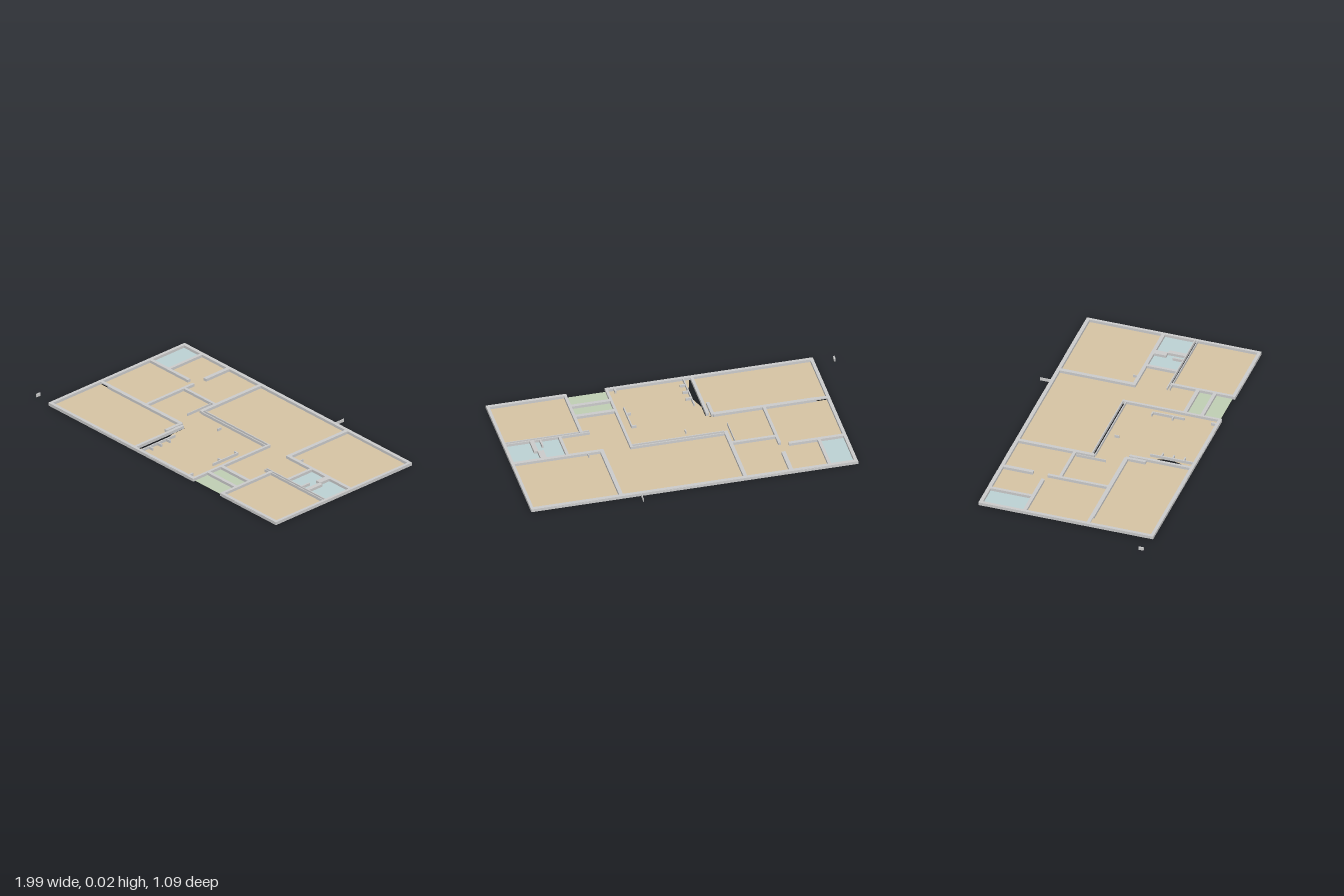
import * as THREE from 'three';

const H = 0.018; // wall height
const T = 0.002; // floor thickness

const grey = new THREE.MeshStandardMaterial({ color: 0xcccccc });
const tan = new THREE.MeshStandardMaterial({ color: 0xd6c4a4 });
const blue = new THREE.MeshStandardMaterial({ color: 0xbcd2d4 });
const green = new THREE.MeshStandardMaterial({ color: 0xc0ceb4 });

export function createModel() {
  const model = new THREE.Group();

  // box given by its plan extents and its height range
  function block(parent, name, [x0, x1, z0, z1], material = grey, y0 = 0, y1 = H) {
    const mesh = new THREE.Mesh(new THREE.BoxGeometry(x1 - x0, y1 - y0, z1 - z0), material);
    mesh.position.set((x0 + x1) / 2, (y0 + y1) / 2, (z0 + z1) / 2);
    mesh.name = name;
    parent.add(mesh);
  }

  function section(name, part, list) {
    const group = new THREE.Group();
    group.name = name;
    for (const plan of list) block(group, part, plan);
    model.add(group);
  }

  // floor slab from an outline of [x, z] points
  function floor(name, points, material) {
    const shape = new THREE.Shape(points.map(([x, z]) => new THREE.Vector2(x, -z)));
    const geometry = new THREE.ExtrudeGeometry(shape, { depth: T, bevelEnabled: false });
    geometry.rotateX(-Math.PI / 2);
    const mesh = new THREE.Mesh(geometry, material);
    mesh.name = name;
    model.add(mesh);
  }
  const rect = (x0, x1, z0, z1) => [[x0, z0], [x1, z0], [x1, z1], [x0, z1]];

  // tan room floors
  floor('backRoomFloors', [[-0.722, -0.474], [-0.238, -0.474], [-0.238, -0.134], [-0.5, -0.134],
    [-0.5, 0.15], [-0.87, 0.15], [-0.87, -0.217], [-0.722, -0.217]], tan);
  floor('frontRightRoomFloor', rect(-0.87, -0.182, 0.16, 0.53), tan);
  floor('hallFloor', [[-0.5, -0.134], [-0.238, -0.134], [-0.238, -0.018], [0.305, -0.018], [0.305, 0.53],
    [-0.17, 0.53], [-0.133, 0.4], [-0.133, 0.36], [-0.17, 0.255], [-0.17, 0.165], [-0.21, 0.15], [-0.5, 0.15]], tan);
  floor('centralRoomFloor', [[-0.238, -0.474], [0.473, -0.474], [0.473, -0.03], [0.668, -0.03], [0.668, 0.155],
    [0.54, 0.155], [0.54, 0.323], [0.305, 0.323], [0.305, -0.038], [-0.238, -0.038]], tan);
  floor('backLeftRoomFloor', rect(0.473, 0.984, -0.474, -0.03), tan);
  floor('frontLeftRoomFloor', rect(0.54, 0.984, 0.168, 0.53), tan);

  // bathrooms and balcony
  floor('rightBathroomFloor', rect(-0.87, -0.722, -0.474, -0.217), blue);
  floor('innerBathroomFloor', rect(0.668, 0.83, -0.03, 0.155), blue);
  floor('outerBathroomFloor', rect(0.83, 0.984, -0.03, 0.155), blue);
  floor('balconyFloor', rect(0.305, 0.54, 0.323, 0.525), green);

  section('outerWalls', 'outerWall', [
    [-0.88, 0.992, -0.484, -0.463],
    [-0.88, -0.861, -0.463, 0.521],
    [0.975, 0.992, -0.463, 0.521],
    [-0.88, 0.312, 0.521, 0.54],
    [0.532, 0.992, 0.521, 0.54],
  ]);

  section('innerWalls', 'innerWall', [
    // right-hand bathroom and bedrooms
    [-0.73, -0.712, -0.463, -0.227],
    [-0.861, -0.55, -0.227, -0.207],
    [-0.512, -0.489, -0.463, -0.29],
    [-0.51, -0.493, -0.205, 0.145],
    [-0.493, -0.249, -0.142, -0.125],
    [-0.249, -0.228, -0.463, -0.02],
    [-0.8, -0.21, 0.145, 0.168],
    // hall
    [-0.191, -0.174, 0.165, 0.521],
    [-0.218, -0.2, 0.15, 0.27],
    [0.297, 0.312, -0.042, 0.521],
    // left-hand rooms
    [0.462, 0.484, -0.463, -0.02],
    [0.484, 0.975, -0.04, -0.02],
    [0.659, 0.676, -0.02, 0.152],
    [0.785, 0.82, -0.02, 0.05],
    [0.815, 0.84, 0.05, 0.152],
    [0.774, 0.784, 0.093, 0.15],
    [0.532, 0.549, 0.16, 0.521],
    // balcony
    [0.312, 0.532, 0.312, 0.333],
    [0.312, 0.532, 0.412, 0.432],
  ]);

  // double walls with a narrow open cavity
  section('cavityWalls', 'wallLeaf', [
    [-0.23, 0.3, -0.042, -0.036],
    [-0.23, 0.3, -0.022, -0.016],
    [0.495, 0.975, 0.151, 0.157],
    [0.495, 0.975, 0.168, 0.173],
  ]);

  // lintel over the doorway beside the outer wall
  block(model, 'doorLintel', [-0.861, -0.8, 0.145, 0.165], grey, 0.012, H);

  // thin partitions and posts
  section('partitions', 'partition', [
    [-0.137, -0.13, 0.27, 0.521],
    ...[0.335, 0.4, 0.465].map((z) => [-0.13, -0.1, z - 0.004, z + 0.004]),
    [0.25, 0.257, 0.15, 0.34],
    ...[0.154, 0.276].map((z) => [0.228, 0.25, z - 0.004, z + 0.004]),
    [0.254, 0.264, 0.495, 0.521],
    [-0.027, -0.021, 0.023, 0.05],
    [-0.269, -0.265, -0.12, 0.055],
    [-0.194, -0.19, 0.19, 0.21],
    [0.553, 0.557, -0.065, -0.04],
  ]);

  // detached markers outside the house
  block(model, 'sideMarker', [-1, -0.992, 0.495, 0.524]);
  block(model, 'backMarker', [0.361, 0.365, -0.545, -0.484]);

  // window panels slightly proud of the long walls
  const windows = new THREE.Group();
  windows.name = 'windows';
  for (const [x0, x1] of [[-0.51, -0.3], [-0.06, 0.18], [0.65, 0.87]]) {
    block(windows, 'frontWindow', [x0, x1, 0.538, 0.542], grey, 0.006, 0.015);
  }
  for (const [x0, x1] of [[-0.68, -0.55], [-0.44, -0.3], [0, 0.25], [0.6, 0.85]]) {
    block(windows, 'backWindow', [x0, x1, -0.486, -0.482], grey, 0.006, 0.015);
  }
  model.add(windows);

  return model;
}
